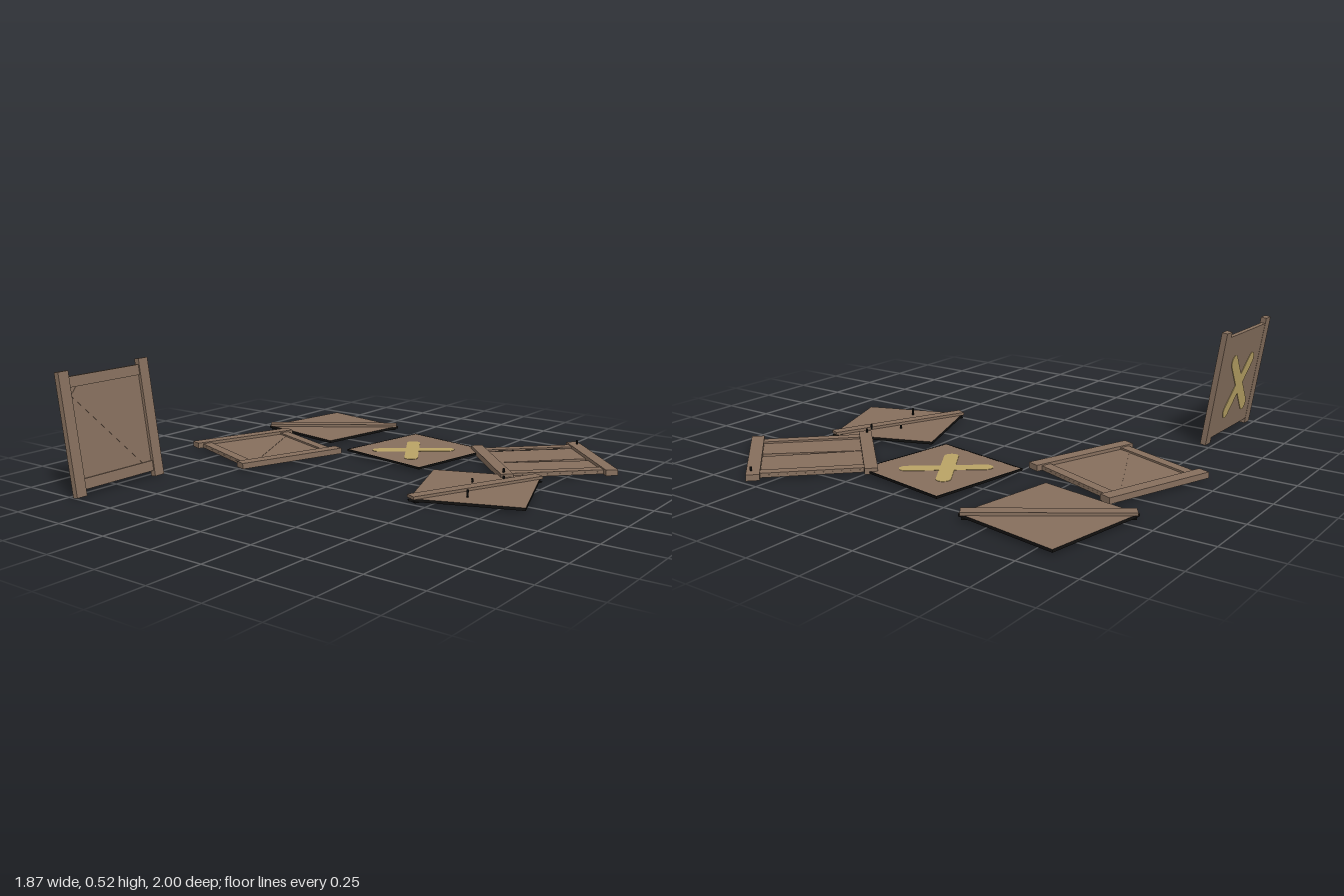
import * as THREE from 'three';

const wood = new THREE.MeshStandardMaterial({ color: 0x866f5d });
wood.name = 'wood';
const dark = new THREE.MeshStandardMaterial({ color: 0x121110 });
dark.name = 'darkEdge';
const paint = new THREE.MeshStandardMaterial({ color: 0xbaa365 });
paint.name = 'yellowPaint';
const rimmed = [dark, dark, wood, wood, dark, dark];

const SIZE = 0.47;

// Box spanning y0..y1, centred on x, z and turned about y
function board(parent, name, w, d, y0, y1, x = 0, z = 0, turn = 0, mat = wood) {
  const mesh = new THREE.Mesh(new THREE.BoxGeometry(w, y1 - y0, d), mat);
  mesh.name = name;
  mesh.position.set(x, (y0 + y1) / 2, z);
  mesh.rotation.y = turn;
  parent.add(mesh);
  return mesh;
}

// Flat outline in x, z extruded between y0 and y1
function slab(parent, name, shape, y0, y1, mat) {
  const geo = new THREE.ExtrudeGeometry(shape, { depth: y1 - y0, bevelEnabled: false, curveSegments: 10 });
  geo.rotateX(Math.PI / 2).translate(0, y1, 0);
  const mesh = new THREE.Mesh(geo, mat);
  mesh.name = name;
  parent.add(mesh);
}

// Painted cross made of two round-ended brush strokes
function cross(parent, y0, y1) {
  const strokes = [[-0.104, -0.083, 0.088, 0.134], [0.1, -0.104, -0.118, 0.138]];
  for (const [x0, z0, x1, z1] of strokes) {
    const a = Math.atan2(z1 - z0, x1 - x0), h = Math.PI / 2, r = 0.031;
    const s = new THREE.Shape();
    s.absarc(x1, z1, r, a - h, a + h, false);
    s.absarc(x0, z0, r, a + h, a + 3 * h, false);
    s.closePath();
    slab(parent, 'paintedCross', s, y0, y1, paint);
  }
}

function place(root, name, x, z, degrees) {
  const g = new THREE.Group();
  g.name = name;
  g.position.set(x, 0, z);
  g.rotation.y = THREE.MathUtils.degToRad(degrees);
  root.add(g);
  return g;
}

// Square panel with one diagonal brace
function bracedPanel(root, name, x, z, degrees) {
  const g = place(root, name, x, z, degrees);
  board(g, 'panel', SIZE, SIZE, 0.014, 0.026, 0, 0, 0, rimmed);
  board(g, 'diagonalBrace', 0.65, 0.05, 0.025, 0.038, 0, 0, Math.PI / 4);
  board(g, 'braceUnderside', 0.64, 0.055, 0.011, 0.015, 0, 0, Math.PI / 4, dark);
}

// Frame rails: two long ones on x sides, two inset ones on z sides
function rails(g, y0, y1) {
  for (const s of [-1, 1]) {
    board(g, 'longRail', 0.055, 0.52, y0, y1, s * 0.23, 0);
    board(g, 'shortRail', 0.41, 0.045, 0.02, y1 - 0.006, 0, s * 0.212);
  }
}

// Framed panel with an inner brace, and a cross painted on its outer side
function framedPanel(root, name, x, z, degrees) {
  const g = place(root, name, x, z, degrees);
  board(g, 'panel', 0.46, SIZE, 0.016, 0.027);
  rails(g, 0.015, 0.041);
  board(g, 'innerBrace', 0.5, 0.06, 0.02, 0.0285, 0, 0, -Math.PI / 4);
  cross(g, 0.0135, 0.0165);
  return g;
}

// Framed panel whose two boards have split apart
function splitPanel(root) {
  const g = place(root, 'splitPanel', 0.56, -0.625, -45);
  const halves = [
    [[-0.235, -0.235], [0.008, -0.235], [0.016, 0.235], [-0.235, 0.235]],
    [[0.043, -0.235], [0.235, -0.235], [0.235, 0.235], [0.018, 0.235]],
  ];
  for (const pts of halves) {
    slab(g, 'splitBoard', new THREE.Shape(pts.map((p) => new THREE.Vector2(...p))), 0.015, 0.026, wood);
  }
  for (const s of [-1, 1]) {
    board(g, 'endRail', 0.53, 0.055, 0.014, 0.04, 0, s * 0.236);
    board(g, 'sideRail', 0.045, 0.42, 0.02, 0.034, s * 0.212, 0);
  }
  // Dark gaps beside the side rail
  for (const z of [-0.13, 0, 0.12]) board(g, 'gap', 0.005, 0.09, 0.025, 0.028, -0.187, z, 0, dark);
}

export function createModel() {
  const root = new THREE.Group();
  root.name = 'brokenCrate';

  bracedPanel(root, 'bracedPanelBack', -0.637, -0.62, -10);
  bracedPanel(root, 'bracedPanelSide', 0.558, -0.055, 20.5);
  framedPanel(root, 'framedPanelFlat', -0.605, -0.055, -20);
  splitPanel(root);

  // Thin panel with the cross showing on both sides
  const lid = place(root, 'crossPanel', -0.003, -0.45, -10);
  board(lid, 'panel', SIZE, SIZE, 0.018, 0.026, 0, 0, 0, rimmed);
  for (const s of [-1, 1]) {
    board(lid, 'rim', SIZE, 0.006, 0.0175, 0.0265, 0, s * 0.232, 0, dark);
    board(lid, 'rim', 0.006, SIZE, 0.0175, 0.0265, s * 0.232, 0, 0, dark);
  }
  cross(lid, 0.0165, 0.0275);

  // Framed panel standing upright and leaning outward
  const upright = framedPanel(root, 'framedPanelUpright', 0, 0, 0);
  const t = 0.15, c = Math.cos(t), s = Math.sin(t);
  upright.setRotationFromMatrix(new THREE.Matrix4().makeBasis(
    new THREE.Vector3(0, 0, -1), new THREE.Vector3(c, s, 0), new THREE.Vector3(s, -c, 0)));
  upright.scale.x = 0.93;
  upright.position.set(-0.778, 0.2585, 0.76);

  // Loose nails sticking out of the boards: x, z, top
  const nails = [[0.6, 0.09, 0.058], [0.6, -0.205, 0.05], [0.5, -0.115, 0.042],
    [0.555, -0.285, 0.058], [0.58, -0.95, 0.058]];
  for (const [x, z, top] of nails) {
    const nail = new THREE.Mesh(new THREE.CylinderGeometry(0.005, 0.004, top - 0.02, 6), dark);
    nail.name = 'nail';
    nail.position.set(x, (top + 0.02) / 2, z);
    root.add(nail);
  }
  return root;
}
